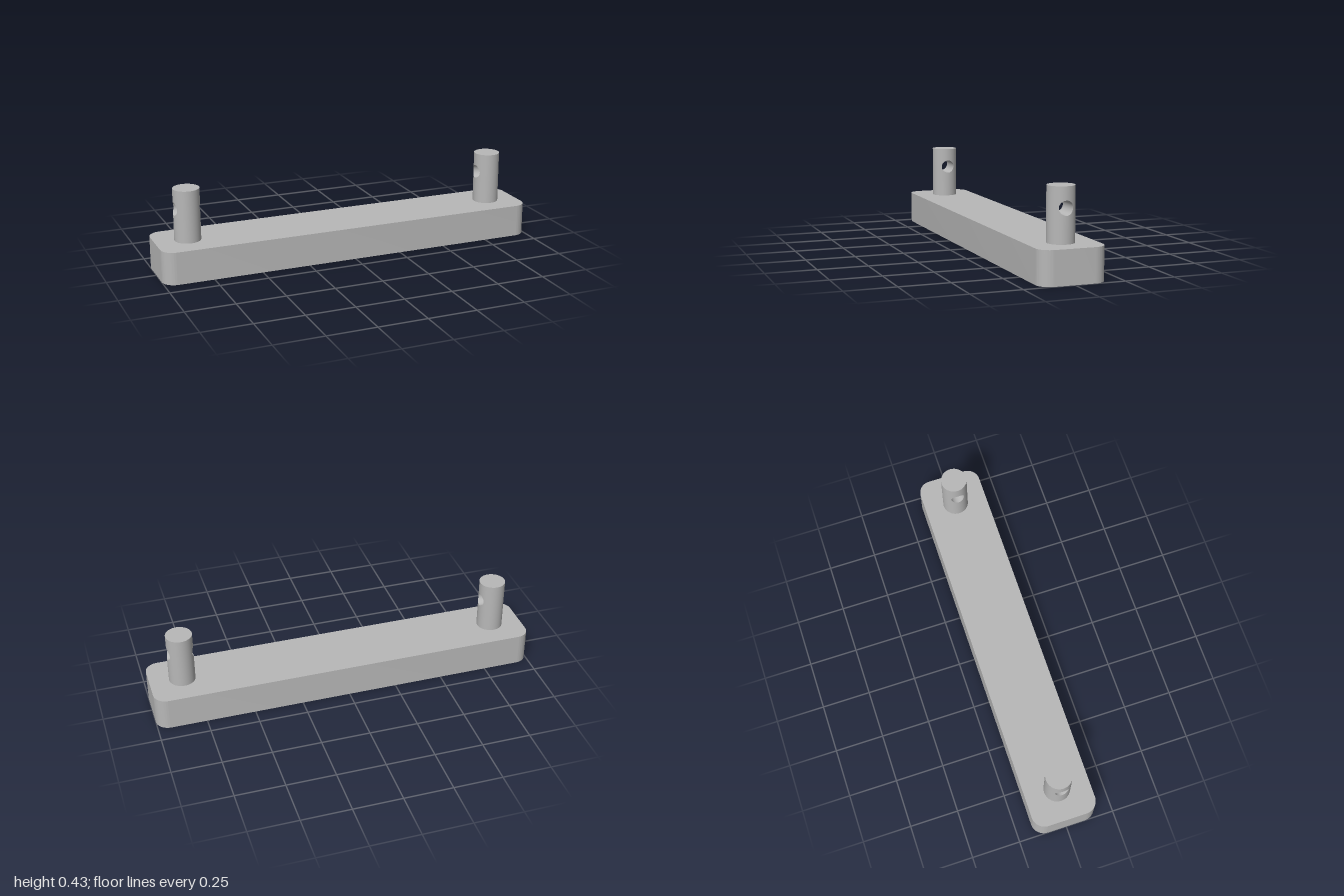
import * as THREE from 'three';
import { toCreasedNormals } from 'three/addons/utils/BufferGeometryUtils.js';

const BASE = { halfX: 1, halfZ: 0.1667, height: 0.1667, corner: 0.0667 };
const PIN = { x: 0.8333, radius: 0.0667, top: 0.4333, holeY: 0.3333, holeRadius: 0.035 };
const SEG = 96;

// Closed-loop surface: point(v, t) returns [position, normal] for v in 0..1, t in 0..2PI
function loopSurface(rows, point) {
  const positions = [], normals = [], index = [];
  for (let r = 0; r <= rows; r++) {
    for (let i = 0; i <= SEG; i++) {
      const [p, n] = point(r / rows, (i / SEG) * Math.PI * 2);
      positions.push(...p);
      normals.push(...n);
      if (r < rows && i < SEG) {
        const a = r * (SEG + 1) + i, b = a + SEG + 1;
        index.push(a, b, b + 1, a, b + 1, a + 1);
      }
    }
  }
  const geometry = new THREE.BufferGeometry();
  geometry.setAttribute('position', new THREE.Float32BufferAttribute(positions, 3));
  geometry.setAttribute('normal', new THREE.Float32BufferAttribute(normals, 3));
  geometry.setIndex(index);
  return geometry;
}

// Half of the pin wall, spreading from the round hole out to the half's border
function pinWallGeometry() {
  const { radius, top, holeY, holeRadius } = PIN;
  const edge = (s) => THREE.MathUtils.clamp((4 / Math.PI) * Math.asin(s), -1, 1);
  return loopSurface(8, (v, t) => {
    const c = Math.cos(t), s = Math.sin(t);
    const holeAngle = Math.asin((holeRadius * c) / radius);
    const angle = THREE.MathUtils.lerp(holeAngle, (edge(c) * Math.PI) / 2, v);
    const borderY = THREE.MathUtils.lerp(BASE.height, top, (edge(s) + 1) / 2);
    const y = THREE.MathUtils.lerp(holeY + holeRadius * s, borderY, v);
    const nx = Math.cos(angle), nz = -Math.sin(angle);
    return [[radius * nx, y, radius * nz], [nx, 0, nz]];
  });
}

// Inside of the cross hole, ending on the curved pin wall
function boreGeometry() {
  const { radius, holeY, holeRadius } = PIN;
  return loopSurface(1, (v, t) => {
    const c = Math.cos(t), s = Math.sin(t), z = -holeRadius * c;
    const x = (2 * v - 1) * Math.sqrt(radius * radius - z * z);
    return [[x, holeY + holeRadius * s, z], [0, -s, c]];
  });
}

// Bar with rounded vertical corners
function baseGeometry() {
  const { halfX, halfZ, height, corner } = BASE;
  const x = halfX - corner, z = halfZ - corner;
  const shape = new THREE.Shape();
  [[x, z], [-x, z], [-x, -z], [x, -z]].forEach(([cx, cz], i) => {
    shape.absarc(cx, cz, corner, (i * Math.PI) / 2, ((i + 1) * Math.PI) / 2, false);
  });
  shape.closePath();
  const geometry = new THREE.ExtrudeGeometry(shape, { depth: height, bevelEnabled: false, curveSegments: 14 });
  geometry.rotateX(-Math.PI / 2);
  return toCreasedNormals(geometry, Math.PI / 6);
}

export function createModel() {
  const grey = new THREE.MeshStandardMaterial({ color: 0xb8b8b8 });
  grey.name = 'grey';
  const model = new THREE.Group();
  model.name = 'barWithPins';

  const add = (parent, name, geometry) => {
    const mesh = new THREE.Mesh(geometry, grey);
    mesh.name = name;
    parent.add(mesh);
    return mesh;
  };

  add(model, 'base', baseGeometry());

  // Two upright pins, each drilled through along x
  const wall = pinWallGeometry();
  const bore = boreGeometry();
  const cap = new THREE.CircleGeometry(PIN.radius, SEG / 2).rotateX(-Math.PI / 2);
  for (const side of [-1, 1]) {
    const pin = new THREE.Group();
    pin.name = side > 0 ? 'leftPin' : 'rightPin';
    pin.position.x = side * PIN.x;
    add(pin, 'outerWall', wall);
    add(pin, 'innerWall', wall).rotation.y = Math.PI;
    add(pin, 'crossHole', bore);
    add(pin, 'topCap', cap).position.y = PIN.top;
    model.add(pin);
  }
  return model;
}
